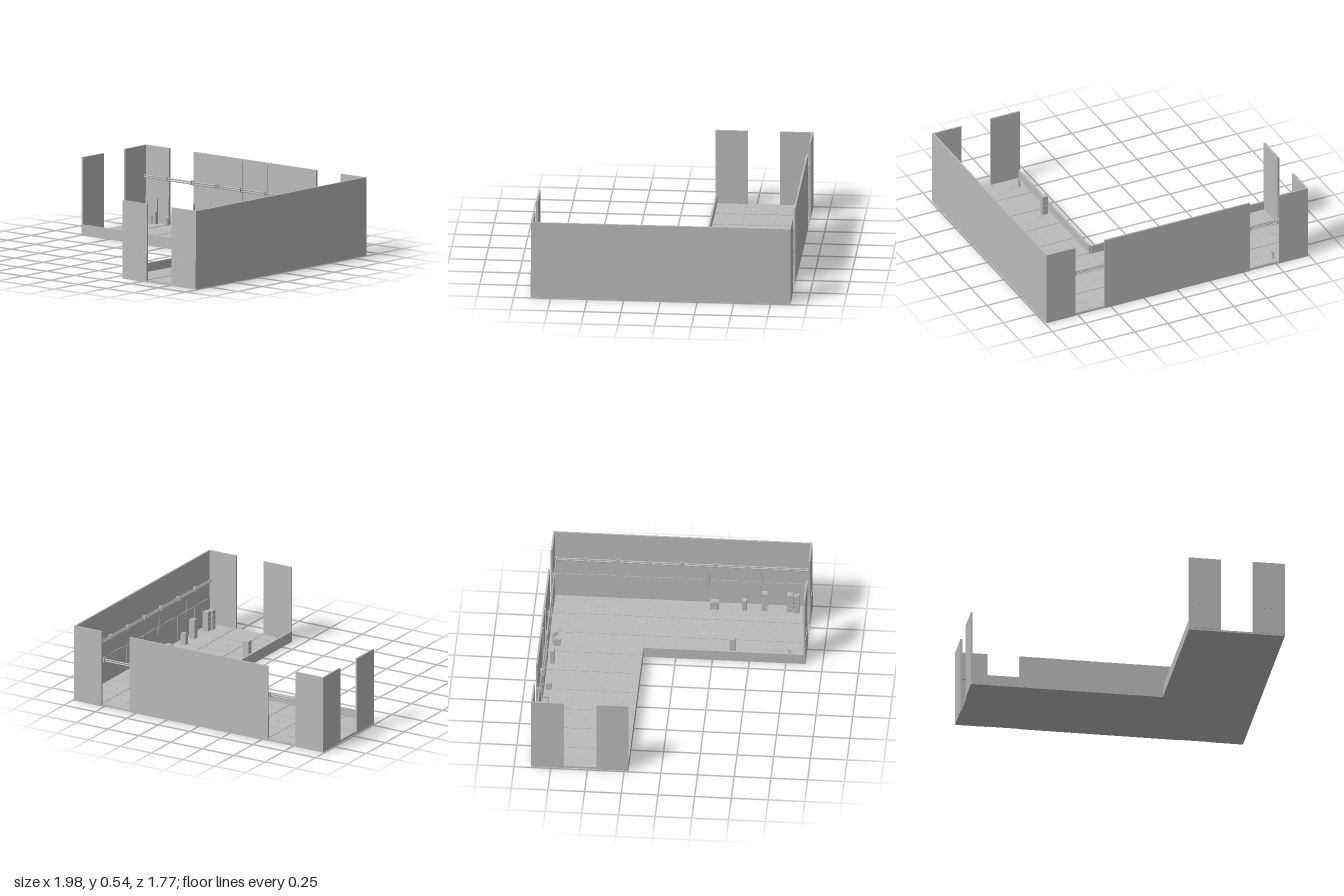
import * as THREE from 'three';

const M = 0.22;        // wall and floor module
const H = 0.54;        // wall height
const FLOOR = 0.015;   // walking surface

export function createModel() {
  const model = new THREE.Group();
  model.name = 'stationInterior';
  const grey = new THREE.MeshStandardMaterial({ color: 0xbababa });
  grey.name = 'panelGrey';

  const add = (parent, name, geometry, x = 0, y = 0, z = 0) => {
    const mesh = new THREE.Mesh(geometry, grey);
    mesh.name = name;
    mesh.position.set(x, y, z);
    parent.add(mesh);
    return mesh;
  };
  // box standing on y
  const box = (parent, name, w, h, d, x, y, z) =>
    add(parent, name, new THREE.BoxGeometry(w, h, d), x, y + h / 2, z);
  const group = (name, x = 0, z = 0, turn = 0) => {
    const g = new THREE.Group();
    g.name = name;
    g.position.set(x, 0, z);
    g.rotation.y = turn;
    model.add(g);
    return g;
  };

  // L-shaped floor slab
  const outline = new THREE.Shape([
    [-0.985, 0.88], [-0.985, 0.22], [0.33, 0.22], [0.33, -0.88], [0.99, -0.88], [0.99, 0.88],
  ].map(([x, y]) => new THREE.Vector2(x, y)));
  const slab = new THREE.ExtrudeGeometry(outline, { depth: 0.012, bevelEnabled: false });
  slab.rotateX(-Math.PI / 2);
  add(model, 'floorSlab', slab);

  // floor tiles with narrow seams and small studded grates
  const tiles = group('floorTiles');
  for (let i = 0; i < 9; i++) {
    for (let j = 0; j < 8; j++) {
      if (i < 6 && j > 2) continue;
      const x = -0.99 + (i + 0.5) * M, z = -0.88 + (j + 0.5) * M;
      box(tiles, 'floorTile', M - 0.01, 0.004, M - 0.01, x, 0.011, z);
      for (let k = 0; k < 6; k++) {
        const gx = x + ((k % 3) - 1) * 0.025, gz = z + (k < 3 ? -0.012 : 0.012);
        if ((i + j) % 2) box(tiles, 'floorStud', 0.012, 0.002, 0.006, gx, FLOOR, gz);
      }
    }
  }

  // wall run: local x follows the wall, local +z is its detailed face
  function wallRun(name, x, z, turn, count, gaps, detailed, pipes) {
    const run = group(name, x, z, turn);
    for (let i = 0; i < count; i++) {
      const cx = (i + 0.5) * M;
      if (!gaps.includes(i)) {
        box(run, 'wallPanel', M, H, 0.012, cx, 0, 0.006);
        if (detailed) {
          box(run, 'lowerPanel', M - 0.006, 0.185, 0.004, cx, 0.012, 0.013);
          box(run, 'panelLedge', 0.09, 0.006, 0.006, cx, 0.196, 0.014);
        }
      }
      if (!pipes) continue;
      // paired conduit with end clamps
      for (const y of [0.321, 0.334]) {
        const pipe = add(run, 'conduit', new THREE.CylinderGeometry(0.005, 0.005, M - 0.008, 8), cx, y, 0.026);
        pipe.rotation.z = Math.PI / 2;
      }
      for (const s of [-1, 1]) box(run, 'conduitClamp', 0.007, 0.03, 0.022, cx + s * (M / 2 - 0.008), 0.313, 0.022);
    }
    return run;
  }
  const back = wallRun('backWall', -0.99, -0.885, 0, 9, [1, 7], true, true);
  const side = wallRun('sideWall', 0.99, -0.88, -Math.PI / 2, 8, [], true, true);
  wallRun('frontWall', 0.33, 0.87, 0, 3, [1], true, false);
  wallRun('leftWall', -0.99, -0.22, Math.PI / 2, 3, [1], false, false);

  // low curbs along the cut-away inner edges
  box(model, 'innerCurb', 1.32, 0.075, 0.012, -0.33, 0, -0.226);
  box(model, 'innerCurb', 0.012, 0.075, 1.1, 0.336, 0, 0.33);

  // back wall fittings
  for (const x of [0.88, 1.1]) box(back, 'wallRib', 0.01, 0.4, 0.006, x, 0.13, 0.014);
  for (const x of [0.45, 0.71]) box(back, 'wallPost', 0.01, 0.17, 0.012, x, FLOOR, 0.02);
  box(back, 'equipmentPanel', 0.42, 0.16, 0.006, 1.02, FLOOR, 0.018);
  box(back, 'equipmentPanel', 0.1, 0.09, 0.006, 0.9, 0.06, 0.022);
  box(back, 'equipmentPanel', 0.13, 0.08, 0.006, 1.1, 0.07, 0.022);
  box(back, 'wallPost', 0.012, 0.17, 0.012, 0.12, FLOOR, 0.025);

  // sagging cables that drop from the conduits
  function cable(run, x, bottom) {
    const path = new THREE.CatmullRomCurve3([
      [x - 0.02, 0.32, 0.026], [x, 0.29, 0.035], [x + 0.008, 0.23, 0.03], [x + 0.004, bottom, 0.02],
    ].map((p) => new THREE.Vector3(...p)));
    add(run, 'cable', new THREE.TubeGeometry(path, 14, 0.0035, 6));
  }
  cable(back, 1.31, 0.165);
  cable(back, 1.47, 0.1);
  cable(side, 1.05, 0.15);
  cable(side, 1.41, 0.15);

  // crates and equipment: x, z, width, depth, height
  const props = group('equipment');
  [
    [-0.9, -0.83, 0.05, 0.035, 0.05], [-0.855, -0.827, 0.025, 0.025, 0.08],
    [-0.1, -0.83, 0.045, 0.035, 0.045],
    [0.2, -0.83, 0.035, 0.03, 0.1], [0.42, -0.815, 0.06, 0.045, 0.05], [0.435, -0.83, 0.03, 0.03, 0.08],
    [0.91, 0.22, 0.045, 0.06, 0.055], [0.91, 0.425, 0.04, 0.03, 0.075],
  ].forEach(([x, z, w, d, h]) => {
    box(props, 'crate', w, h, d, x, FLOOR, z);
    box(props, 'crateLid', w * 0.8, 0.006, d * 0.8, x, FLOOR + h, z);
  });

  // tall lockers with drawer seams
  for (const [x, z] of [[-0.425, -0.83], [-0.37, -0.83], [0.385, 0.385], [0.92, 0.56], [0.92, 0.735], [0.91, 0.78]]) {
    box(props, 'lockerCore', 0.036, 0.138, 0.034, x, FLOOR, z);
    for (let k = 0; k < 4; k++) box(props, 'lockerDrawer', 0.042, 0.031, 0.04, x, FLOOR + k * 0.035, z);
  }

  // low floor fixtures: a stub with spread arms
  for (const [x, z] of [[-0.75, -0.83], [0.475, -0.83], [0.385, 0.77]]) {
    add(props, 'fixtureStem', new THREE.CylinderGeometry(0.006, 0.01, 0.055, 8), x, FLOOR + 0.0275, z);
    for (let k = 0; k < 3; k++) {
      const arm = box(props, 'fixtureArm', 0.04, 0.005, 0.006, x, FLOOR + 0.05, z);
      arm.rotation.set(0, (k * Math.PI) / 3, 0.25);
    }
  }
  return model;
}
